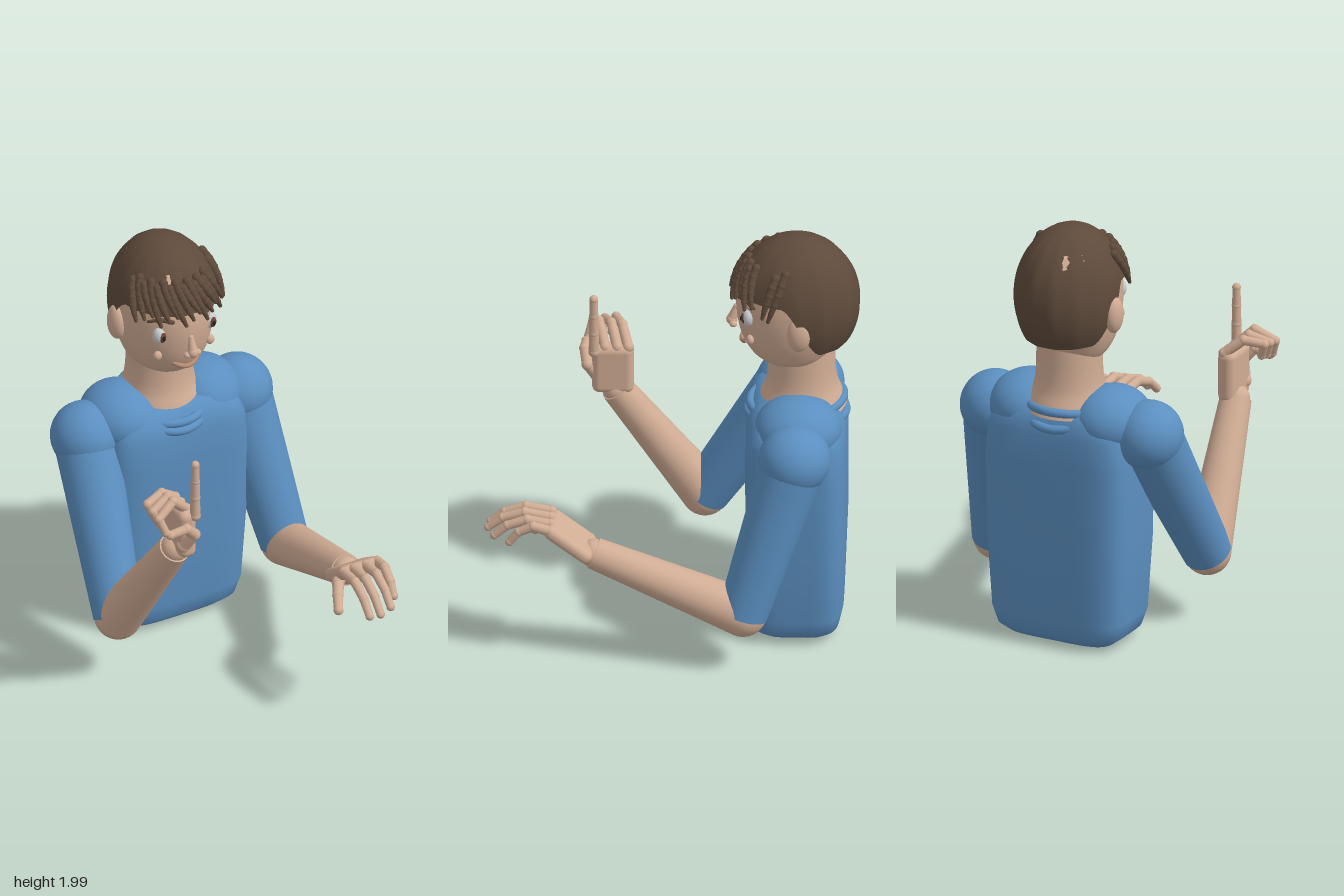
import * as THREE from 'three';
import { mergeGeometries } from 'three/addons/utils/BufferGeometryUtils.js';
import { RoundedBoxGeometry } from 'three/addons/geometries/RoundedBoxGeometry.js';

const mat = (color, side = THREE.FrontSide) => new THREE.MeshStandardMaterial({ color, side });
const SKIN = mat(0xd0ac94), SHIRT = mat(0x5b8fc0), HAIR = mat(0x5e4a3b, THREE.DoubleSide);
const WHITE = mat(0xc8ccd0), BROWN = mat(0x6e4630), DARK = mat(0x2a201c), LIP = mat(0xb88a74);
const CX = -0.025, CZ = -0.56; // body axis
const V = (x, y, z) => new THREE.Vector3(x, y, z);

function add(parent, name, geo, material) {
  const m = new THREE.Mesh(geo, material);
  m.name = name;
  parent.add(m);
  return m;
}

function ellipsoid(parent, name, p, r, material) {
  const g = new THREE.SphereGeometry(1, 32, 24).scale(...r);
  add(parent, name, g, material).position.set(...p);
}

// Chain of tapered segments with round joints
function chain(pts, radii, sides = 14) {
  const geos = [];
  const up = V(0, 1, 0);
  pts.forEach((q, i) => {
    const a = V(...q);
    geos.push(new THREE.SphereGeometry(radii[i], sides, 10).translate(a.x, a.y, a.z));
    if (i === pts.length - 1) return;
    const d = V(...pts[i + 1]).sub(a), len = d.length();
    geos.push(new THREE.CylinderGeometry(radii[i + 1] * 0.93, radii[i] * 0.93, len, sides)
      .translate(0, len / 2, 0)
      .applyQuaternion(new THREE.Quaternion().setFromUnitVectors(up, d.normalize()))
      .translate(a.x, a.y, a.z));
  });
  return mergeGeometries(geos);
}

// Single tapered tube without joints
function cone(a, b, ra, rb) {
  const A = V(...a), d = V(...b).sub(A), len = d.length();
  return new THREE.CylinderGeometry(rb, ra, len, 32).translate(0, len / 2, 0)
    .applyQuaternion(new THREE.Quaternion().setFromUnitVectors(V(0, 1, 0), d.normalize()))
    .translate(A.x, A.y, A.z);
}

// Loft of superellipse rings [y, rx, rz]
function loft(rows, n, seg = 64) {
  const pos = [], idx = [];
  const pw = (v) => Math.sign(v) * Math.abs(v) ** (2 / n);
  rows.forEach(([y, rx, rz], i) => {
    for (let j = 0; j < seg; j++) {
      const t = j / seg * Math.PI * 2;
      pos.push(pw(Math.cos(t)) * rx, y, pw(Math.sin(t)) * rz);
      if (i === rows.length - 1) continue;
      const a = i * seg + j, b = i * seg + (j + 1) % seg, c = a + seg, d = b + seg;
      idx.push(a, c, b, b, c, d);
    }
  });
  const g = new THREE.BufferGeometry();
  g.setAttribute('position', new THREE.Float32BufferAttribute(pos, 3));
  g.setIndex(idx);
  g.computeVertexNormals();
  return g;
}

const lathe = (pts) => new THREE.LatheGeometry(
  new THREE.SplineCurve(pts.map((p) => new THREE.Vector2(...p))).getPoints(36), 48);

// Point on the hair surface at azimuth a (0 = front, + = left) and height y
function onHair(a, y, k = 1.03) {
  const r = k * Math.sqrt(Math.max(0, 1 - ((y - 1.67) / 0.33) ** 2));
  return [CX + 0.01 + 0.245 * r * Math.sin(a), y, CZ + 0.285 * r * Math.cos(a)];
}

function buildTorso(g) {
  add(g, 'torso', loft([[0.01, 0.001, 0.001], [0.012, 0.2, 0.12], [0.025, 0.265, 0.165], [0.06, 0.31, 0.2],
    [0.14, 0.335, 0.217], [0.5, 0.358, 0.23], [0.9, 0.363, 0.232], [1.04, 0.352, 0.228], [1.12, 0.32, 0.208],
    [1.17, 0.25, 0.165], [1.19, 0.1, 0.08], [1.192, 0.001, 0.001]], 4.5), SHIRT).position.set(CX + 0.01, 0, CZ);
  for (const s of [1, -1]) {
    const side = s > 0 ? 'left' : 'right';
    ellipsoid(g, side + 'Yoke', [CX + s * 0.21, 1.1, CZ - 0.01], [0.185, 0.155, 0.2], SHIRT);
  }
  // Collar rolls dip at front and back
  [[1.14, 0, 0.19, 0.212], [1.13, 0.05, 0.2, 0.222]].forEach(([y, dip, rx, rz], k) => {
    const pts = Array.from({ length: 24 }, (_, i) => {
      const t = i / 24 * Math.PI * 2;
      return V(CX + rx * Math.sin(t), y - dip * Math.cos(t) ** 2 + (k ? 0 : -0.02 * Math.cos(t)), CZ + rz * Math.cos(t));
    });
    add(g, 'collarRoll' + (k + 1), new THREE.TubeGeometry(new THREE.CatmullRomCurve3(pts, true), 64, 0.021, 12, true), SHIRT);
  });
  add(g, 'neck', lathe([[0.205, 1.13], [0.185, 1.18], [0.163, 1.24], [0.153, 1.32], [0.15, 1.46]]), SKIN)
    .position.set(CX, 0, -0.583);
}

function buildHead(g) {
  // Skull: narrow chin, nape drawn forward
  const skull = lathe([[0.001, 1.33], [0.35, 1.335], [0.52, 1.36], [0.75, 1.41], [0.92, 1.5], [1, 1.62],
    [0.98, 1.74], [0.82, 1.87], [0.5, 1.95], [0.001, 1.97]]).scale(0.22, 1, 0.275);
  const p = skull.attributes.position;
  for (let i = 0; i < p.count; i++)
    if (p.getZ(i) < 0) p.setZ(i, p.getZ(i) * (1 - 0.28 * THREE.MathUtils.smoothstep(1.65 - p.getY(i), 0, 0.25)));
  skull.computeVertexNormals();
  add(g, 'head', skull, SKIN).position.set(CX, 0, CZ);

  for (const s of [1, -1]) {
    const side = s > 0 ? 'left' : 'right', x = CX + s * 0.13;
    ellipsoid(g, side + 'Ear', [CX + s * 0.225, 1.61, -0.575], [0.04, 0.088, 0.055], SKIN);
    ellipsoid(g, side + 'Eye', [x, 1.64, -0.345], [0.032, 0.043, 0.03], WHITE);
    ellipsoid(g, side + 'Iris', [x + 0.004, 1.638, -0.325], [0.018, 0.028, 0.015], BROWN);
    ellipsoid(g, side + 'Pupil', [x + 0.005, 1.638, -0.315], [0.009, 0.014, 0.009], DARK);
    ellipsoid(g, side + 'Cheek', [CX + s * 0.136, 1.525, -0.352], [0.021, 0.024, 0.018], SKIN);
    ellipsoid(g, side + 'Nostril', [CX + s * 0.025, 1.54, -0.272], [0.018, 0.015, 0.018], SKIN);
    add(g, side + 'Eyebrow', chain([[x + s * 0.045, 1.715, -0.37], [x, 1.732, -0.33], [x - s * 0.045, 1.72, -0.302]],
      [0.007, 0.011, 0.01]), HAIR);
  }
  add(g, 'nose', chain([[CX, 1.62, -0.285], [CX, 1.55, -0.265]], [0.013, 0.026], 20), SKIN);
  const smile = [-2, -1, 0, 1, 2].map((k) => V(CX + k * 0.034, 1.452 + k * k * 0.006, -0.31 - k * k * 0.007));
  add(g, 'mouth', new THREE.TubeGeometry(new THREE.CatmullRomCurve3(smile), 24, 0.011, 10), LIP);
}

function buildHair(g) {
  // Cap with a high front hairline, falling behind the ears to the nape
  const cap = new THREE.SphereGeometry(1, 84, 32, 0, Math.PI * 2, 0, 3);
  const p = cap.attributes.position, uv = cap.attributes.uv;
  for (let i = 0; i < p.count; i++) {
    const phi = uv.getX(i) * Math.PI * 2, back = -Math.sin(phi);
    const max = 1.33 + 0.86 * THREE.MathUtils.smoothstep(back, -0.25, 0.5);
    const th = (1 - uv.getY(i)) * max, r = Math.sin(th) * (1 + 0.008 * Math.cos(14 * phi));
    p.setXYZ(i, -Math.cos(phi) * r * 0.245, Math.cos(th) * 0.33, Math.sin(phi) * r * 0.288);
  }
  cap.computeVertexNormals();
  add(g, 'hairCap', cap, HAIR).position.set(CX + 0.01, 1.67, CZ);

  // Fringe locks sweep toward the left
  const lock = (a, sweep, y0, y1) => {
    const pts = [], radii = [];
    for (let k = 0; k <= 5; k++) {
      const t = k / 5;
      pts.push(onHair(a + sweep * t, y0 + (y1 - y0) * t, 1.02 + 0.05 * t));
      radii.push(0.022 - 0.013 * t * t);
    }
    return chain(pts, radii, 9);
  };
  for (let i = 0; i < 14; i++)
    add(g, 'fringeLock', lock(-1.3 + i * 0.145, 0.25, 1.87 + 0.02 * (i % 2), 1.71 + 0.022 * (i % 3)), HAIR);
  add(g, 'sideLock', lock(1.35, -0.2, 1.9, 1.69), HAIR);
  add(g, 'sideLock', lock(1.15, -0.1, 1.88, 1.7), HAIR);
}

function buildArm(g, side, shoulder, elbow, wrist) {
  ellipsoid(g, side + 'Shoulder', shoulder, [0.16, 0.16, 0.165], SHIRT);
  add(g, side + 'Sleeve', cone(shoulder, elbow, 0.15, 0.114), SHIRT);
  ellipsoid(g, side + 'Elbow', elbow, [0.11, 0.11, 0.11], SKIN);
  add(g, side + 'Forearm', cone(elbow, wrist, 0.11, 0.073), SKIN);
  ellipsoid(g, side + 'Wrist', wrist, [0.066, 0.066, 0.066], SKIN);
}

function buildHands(g) {
  const R = [0.026, 0.024, 0.022, 0.02];
  // Right hand: upright palm, index raised, other fingers curled
  add(g, 'rightPalm', new RoundedBoxGeometry(0.085, 0.25, 0.19, 4, 0.035), SKIN).position.set(-0.402, 1.05, 0.285);
  add(g, 'rightIndex', chain([[-0.37, 1.15, 0.37], [-0.37, 1.25, 0.371], [-0.37, 1.34, 0.371], [-0.37, 1.428, 0.371]], R), SKIN);
  [0.32, 0.265, 0.215].forEach((z, i) => add(g, 'rightCurledFinger', chain([[-0.39, 1.165, z],
    [-0.475, 1.25 - i * 0.008, z + 0.03], [-0.565, 1.2 + i * 0.01, z + 0.06], [-0.54, 1.13 + i * 0.012, z + 0.08]], R), SKIN));
  add(g, 'rightThumb', chain([[-0.42, 0.99, 0.35], [-0.39, 1.07, 0.4], [-0.44, 1.125, 0.415], [-0.52, 1.115, 0.41]],
    [0.035, 0.028, 0.025, 0.022]), SKIN);

  // Left hand: palm down, fingers reaching forward and drooping
  const palm = add(g, 'leftPalm', new RoundedBoxGeometry(0.22, 0.065, 0.25, 4, 0.03), SKIN);
  palm.position.set(0.41, 0.645, 0.455);
  palm.rotation.set(-0.62, -0.1, 0);
  [[0.305, 0.285, 0.82], [0.36, 0.336, 0.83], [0.42, 0.405, 0.8], [0.48, 0.46, 0.73]].forEach(([x0, x1, tip]) => {
    const z0 = 0.545, L = tip - z0, x = (t) => x0 + (x1 - x0) * t;
    add(g, 'leftFinger', chain([[x0, 0.715, z0], [x(0.4), 0.735, z0 + L * 0.42], [x(0.75), 0.7, z0 + L * 0.77],
      [x1, 0.645, tip]], R), SKIN);
  });
  add(g, 'leftThumb', chain([[0.36, 0.61, 0.42], [0.3, 0.635, 0.5], [0.265, 0.61, 0.56], [0.235, 0.575, 0.62]],
    [0.035, 0.03, 0.026, 0.023]), SKIN);
}

export function createModel() {
  const model = new THREE.Group();
  model.name = 'gesturingFigure';
  const part = (name, build) => {
    const g = new THREE.Group();
    g.name = name;
    build(g);
    model.add(g);
  };
  part('body', buildTorso);
  part('headAndFace', buildHead);
  part('hair', buildHair);
  part('leftArm', (g) => buildArm(g, 'left', [0.37, 1.05, -0.56], [0.485, 0.3, -0.33], [0.425, 0.57, 0.35]));
  part('rightArm', (g) => buildArm(g, 'right', [-0.42, 1.05, -0.56], [-0.49, 0.34, -0.13], [-0.42, 0.93, 0.27]));
  part('hands', buildHands);
  return model;
}
